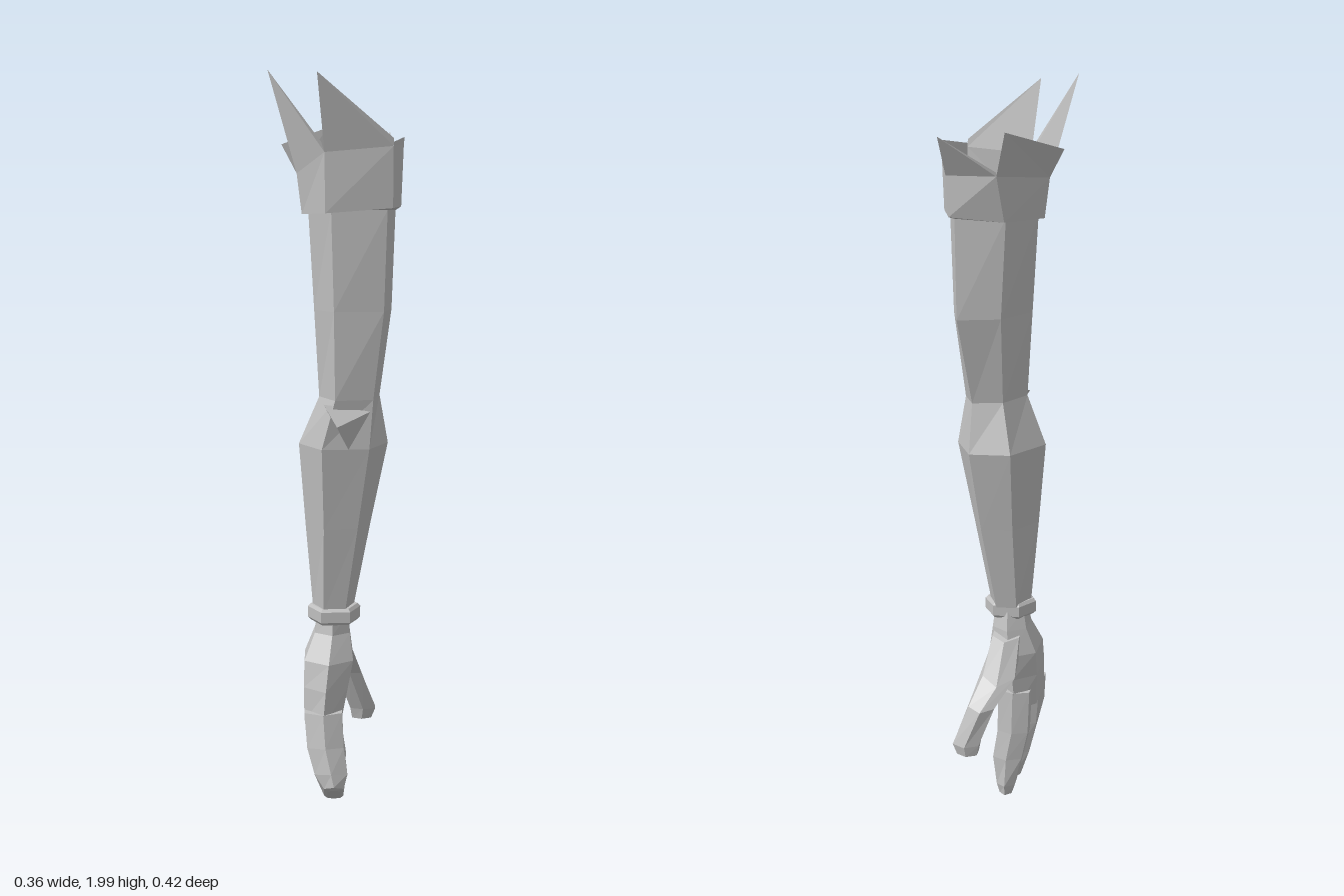
import * as THREE from 'three';

const cloth = new THREE.MeshStandardMaterial({ color: 0xbfbfbf, side: THREE.DoubleSide });
cloth.name = 'plain grey';

// Faceted mesh from a list of triangles, each made of three [x, y, z] points
function facets(name, tris) {
  const g = new THREE.BufferGeometry();
  g.setAttribute('position', new THREE.Float32BufferAttribute(tris.flat(2), 3));
  g.computeVertexNormals();
  const mesh = new THREE.Mesh(g, cloth);
  mesh.name = name;
  return mesh;
}

// Skin a stack of six-sided rings, listed from top to bottom
function loft(name, rings, capTop = false, capBottom = false) {
  const tris = [];
  for (let k = 0; k + 1 < rings.length; k++) {
    const b = rings[k], a = rings[k + 1], n = a.length;
    for (let i = 0; i < n; i++) {
      const j = (i + 1) % n;
      tris.push([a[i], a[j], b[j]], [a[i], b[j], b[i]]);
    }
  }
  const top = rings[0], end = rings[rings.length - 1];
  for (let i = 1; i + 1 < top.length; i++) {
    if (capTop) tris.push([top[0], top[i], top[i + 1]]);
    if (capBottom) tris.push([end[0], end[i + 1], end[i]]);
  }
  return facets(name, tris);
}

// Arm ring: left, front-left, front-right, right, back-right, back-left corners
const ring = (y, ...xz) => xz.map(([x, z]) => [x, y, z]);

// Hand ring: flattened hexagon within x and z limits, sloping in y along z
function slab(y, x0, x1, z0, z1, slope = 0, edge = 0.24) {
  const xm = (x0 + x1) / 2, zm = (z0 + z1) / 2, d = (z1 - z0) * edge;
  return [[x0, z0 + d], [x0, z1 - d], [xm, z1], [x1, z1 - d], [x1, z0 + d], [xm, z0]]
    .map(([x, z]) => [x, y + slope * (z - zm), z]);
}

export function createModel() {
  const model = new THREE.Group();
  model.name = 'arm';

  // Hollow sleeve, narrowing above the elbow and towards the wrist
  const armTop = ring(1.64, [-0.075, 0.05], [-0.015, 0.145], [0.13, 0.132], [0.155, 0.015], [0.118, -0.09], [-0.01, -0.06]);
  model.add(loft('sleeve', [
    armTop,
    ring(1.38, [-0.06, 0.05], [-0.008, 0.15], [0.122, 0.13], [0.146, 0.01], [0.11, -0.11], [0, -0.075]),
    ring(1.15, [-0.047, 0.05], [-0.005, 0.155], [0.095, 0.13], [0.115, 0.01], [0.08, -0.068], [0, -0.05]),
    ring(1.02, [-0.102, 0.03], [-0.04, 0.15], [0.085, 0.135], [0.138, 0.01], [0.08, -0.11], [-0.03, -0.1]),
    ring(0.8, [-0.085, 0.025], [-0.035, 0.118], [0.055, 0.108], [0.092, 0.008], [0.055, -0.078], [-0.03, -0.07]),
    ring(0.565, [-0.065, 0.02], [-0.036, 0.085], [0.022, 0.08], [0.046, 0.01], [0.02, -0.045], [-0.035, -0.04]),
  ]));

  // Pointed fold at the elbow
  const a = [-0.035, 1.14, 0.15], b = [0.09, 1.12, 0.13], c = [0.0, 1.085, 0.19], d = [0.03, 1.02, 0.142];
  model.add(facets('elbowFold', [[a, d, c], [d, b, c], [b, a, c]]));

  // Torn cuff: a flared band joined to the sleeve by a narrow lip
  const cuffBottom = [[-0.092, 1.63, 0.045], [-0.03, 1.632, 0.165], [0.143, 1.645, 0.155],
    [0.17, 1.65, 0.012], [0.13, 1.645, -0.105], [-0.01, 1.632, -0.08]];
  const cuffMid = [[-0.105, 1.735, 0.045], [-0.032, 1.785, 0.168], [0.143, 1.8, 0.17],
    [0.176, 1.81, 0.012], [0.138, 1.75, -0.1], [0.005, 1.75, -0.105]];
  model.add(loft('cuff', [cuffMid, cuffBottom, armTop]));

  // Each panel of the cuff ends in its own torn flap
  const flaps = [
    [[-0.18, 2.0, 0.035], [-0.04, 1.81, 0.175]],
    [[-0.05, 1.98, 0.21], [0.143, 1.82, 0.173]],
    [[0.143, 1.81, 0.173], [0.178, 1.83, 0.012]],
    [[0.178, 1.83, 0.012], [0.14, 1.76, -0.1]],
    [[0.147, 1.85, -0.148], [0.005, 1.76, -0.106]],
    [[-0.025, 1.862, -0.145], [-0.145, 1.81, 0.03]],
  ];
  flaps.forEach(([p, q], i) => {
    const m = cuffMid[i], n = cuffMid[(i + 1) % 6];
    model.add(facets('tornFlap', [[m, n, p], [n, q, p]]));
  });

  // Wrist band
  const band = (y, s) => ring(y, ...[[-0.07, 0.02], [-0.038, 0.085], [0.03, 0.08], [0.055, 0.018], [0.026, -0.03], [-0.038, -0.03]]
    .map(([x, z]) => [-0.008 + (x + 0.008) * s, 0.027 + (z - 0.027) * s]));
  model.add(loft('wristBand', [band(0.575, 1.03), band(0.567, 1.15), band(0.538, 1.15), band(0.53, 1.03)], true, true));

  // Palm
  model.add(loft('palm', [
    slab(0.55, -0.05, 0.03, -0.04, 0.075),
    slab(0.5, -0.06, 0.035, -0.058, 0.085),
    slab(0.43, -0.088, 0.044, -0.075, 0.13),
    slab(0.36, -0.09, 0.03, -0.07, 0.148),
    slab(0.27, -0.088, 0.012, -0.068, 0.162),
  ], true, true));

  // Three fingers held together, curling inwards at the tips
  model.add(loft('joinedFingers', [
    slab(0.3, -0.088, 0.014, 0.002, 0.158, 0, 0.15),
    slab(0.2, -0.08, 0.018, 0.002, 0.18, 0.15, 0.13),
    slab(0.12, -0.06, 0.028, 0.004, 0.2, 0.3, 0.12),
    slab(0.065, -0.035, 0.018, 0.008, 0.208, 0.52, 0.1),
    slab(0.057, -0.026, 0.01, 0.012, 0.198, 0.52, 0.1),
  ], true, true));

  // Index finger
  model.add(loft('indexFinger', [
    slab(0.32, -0.075, 0.014, -0.07, 0.002),
    slab(0.2, -0.072, 0.014, -0.078, -0.005),
    slab(0.12, -0.055, 0.026, -0.084, -0.01),
    slab(0.04, -0.036, 0.014, -0.09, -0.016),
    slab(0.012, -0.028, 0.006, -0.086, -0.02),
  ], true, true));

  // Thumb, reaching backwards and across the palm
  model.add(loft('thumb', [
    slab(0.49, -0.045, 0.03, -0.075, 0.03, 0.3),
    slab(0.405, -0.045, 0.045, -0.142, -0.01, 0.55),
    slab(0.325, 0.0, 0.072, -0.192, -0.1, 0.3),
    slab(0.215, 0.04, 0.112, -0.21, -0.138, 0.1),
    slab(0.185, 0.045, 0.1, -0.206, -0.148, 0.05),
  ], true, true));

  return model;
}
